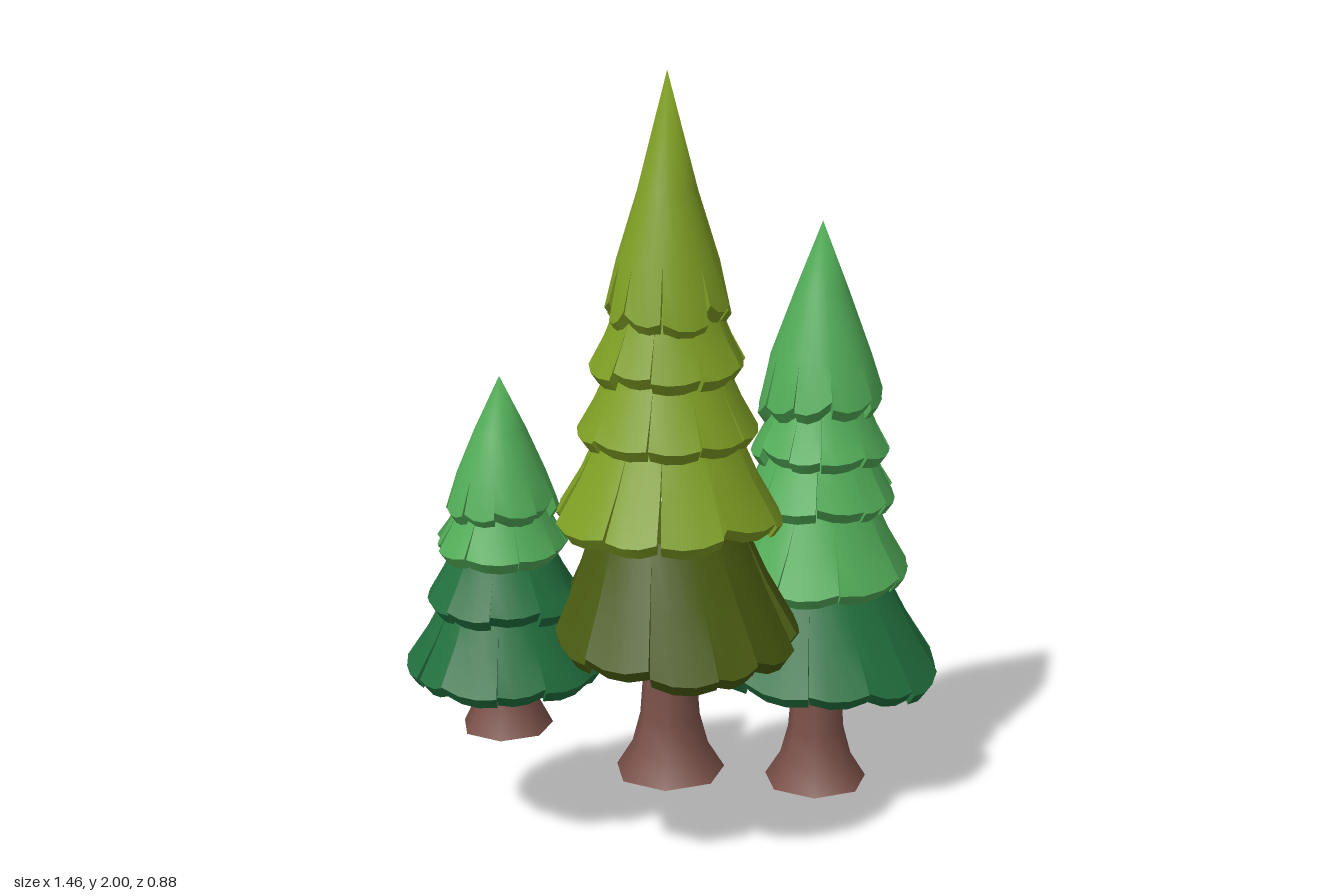
import * as THREE from 'three';
import { toCreasedNormals } from 'three/addons/utils/BufferGeometryUtils.js';

const mat = (name, color) => {
  const m = new THREE.MeshStandardMaterial({ color });
  m.name = name;
  return m;
};

// small seeded random, returns -1..1
function seeded(seed) {
  let s = seed;
  return () => {
    s = (s * 16807) % 2147483647;
    return (s / 2147483647) * 2 - 1;
  };
}

const SLIT = [0, 0, 0.4, 1], TIP_SLIT = [0, 0, 0, 1];

// One skirt of shingles. profile: four [radius, height] points from top to hem;
// slit: how far each profile row is split and shifted.
function skirt(profile, count, rand, { flap = 0, oz = 0, tilt = 0, slit = SLIT } = {}) {
  const COLS = 3, THICK = 0.028, pos = [], edges = [];
  const turn = flap ? 0 : rand() * 0.3;
  for (let i = 0; i < count; i++) edges.push(((i + rand() * 0.22 + 0.5) / count) * Math.PI * 2 + turn);
  edges.push(edges[0] + Math.PI * 2);
  const height = profile[1][1] - profile[3][1];
  const quad = (a, b, c, d) => pos.push(...a, ...b, ...c, ...a, ...c, ...d);

  for (let i = 0; i < count; i++) {
    const a0 = edges[i], a1 = edges[i + 1], mid = (a0 + a1) / 2;
    const isFlap = Math.abs(mid - Math.PI) < Math.PI / count;
    const grow = flap && isFlap ? flap : rand() * 0.03;
    const drop = rand() * 0.07 * height, skew = rand() * 0.14 * height;
    const gap = 0.008 + 0.03 * Math.max(0, rand());

    const point = (j, c, inner) => {
      const w = slit[j], u = c / COLS;
      const a = a0 + (a1 - a0) * (u + (0.5 - u) * 2 * gap * w);
      let [r, y] = profile[j];
      r *= 1 + grow * w;
      y += w * (drop + skew * (u - 0.5) - 0.06 * height * Math.sin(Math.PI * u) - tilt * Math.cos(a));
      if (inner) {
        r = Math.max(0, r - THICK * 0.7);
        y -= THICK;
      }
      return [r * Math.sin(a), y, r * Math.cos(a) + oz * w];
    };

    for (let j = 0; j < 3; j++) {
      for (let c = 0; c < COLS; c++) {
        quad(point(j, c), point(j + 1, c), point(j + 1, c + 1), point(j, c + 1));
        quad(point(j, c + 1, true), point(j + 1, c + 1, true), point(j + 1, c, true), point(j, c, true));
      }
      // slit walls
      if (slit[j + 1] > 0) {
        quad(point(j, 0, true), point(j + 1, 0, true), point(j + 1, 0), point(j, 0));
        quad(point(j, COLS), point(j + 1, COLS), point(j + 1, COLS, true), point(j, COLS, true));
      }
    }
    // hem
    for (let c = 0; c < COLS; c++) {
      quad(point(3, c), point(3, c, true), point(3, c + 1, true), point(3, c + 1));
    }
  }
  const raw = new THREE.BufferGeometry();
  raw.setAttribute('position', new THREE.Float32BufferAttribute(pos, 3));
  const g = toCreasedNormals(raw, 0.6);
  // one shared upward normal at the peak keeps the tip smooth
  const p = g.attributes.position, n = g.attributes.normal;
  for (let i = 0; i < p.count; i++) {
    if (Math.hypot(p.getX(i), p.getZ(i)) < 1e-5) n.setXYZ(i, 0, 1, 0);
  }
  return g;
}

// Flared hollow trunk, open at the foot
function trunk(base, top, r) {
  const pts = [[r, base], [r * 0.7, base + 0.07], [r * 0.55, base + 0.15],
    [r * 0.46, base + 0.32], [r * 0.42, top]].map(([x, y]) => new THREE.Vector2(x, y));
  return toCreasedNormals(new THREE.LatheGeometry(pts, 7, 0.3), 0.95);
}

export function createModel() {
  const bark = mat('bark brown', 0x7a5048);
  bark.side = THREE.DoubleSide;
  const light = mat('light green', 0x52ad58);
  const dark = mat('dark green', 0x22703e);
  const olive = mat('olive green', 0x7f9f24);
  const darkOlive = mat('dark olive', 0x485a10);

  // tier: [hem radius, hem height, upper radius, upper height, material, options]
  const trees = [
    {
      name: 'rightTree', x: 0.413, z: -0.06, seed: 4217, base: 0, r: 0.144, trunkTop: 0.66,
      tip: [[0, 1.575], [0.072, 1.39], [0.135, 1.22], [0.168, 1.095]], tipMat: light,
      tiers: [
        [0.318, 0.375, 0.19, 0.6, dark, { flap: 0.14, oz: 0.025, tilt: 0.022 }],
        [0.258, 0.612, 0.15, 0.82, light, { oz: -0.02 }],
        [0.21, 0.83, 0.14, 0.965, light, {}],
        [0.183, 0.965, 0.125, 1.09, light, {}],
      ],
    },
    {
      name: 'middleTree', x: -0.14, z: 0.085, seed: 9931, base: 0.2, r: 0.144, trunkTop: 0.9,
      tip: [[0, 2], [0.075, 1.71], [0.128, 1.54], [0.158, 1.425]], tipMat: olive,
      tiers: [
        [0.315, 0.605, 0.19, 0.87, darkOlive, { flap: 0.19, oz: 0.04, tilt: 0.022 }],
        [0.287, 0.9, 0.175, 1.11, olive, {}],
        [0.225, 1.115, 0.15, 1.27, olive, {}],
        [0.192, 1.28, 0.13, 1.42, olive, {}],
      ],
    },
    {
      name: 'leftTree', x: -0.475, z: -0.185, seed: 2753, base: 0.3, r: 0.12, trunkTop: 0.68,
      tip: [[0, 1.235], [0.065, 1.1], [0.112, 0.99], [0.142, 0.91]], tipMat: light,
      tiers: [
        [0.25, 0.49, 0.155, 0.655, dark, { tilt: 0.018 }],
        [0.2, 0.662, 0.125, 0.795, dark, {}],
        [0.168, 0.8, 0.11, 0.91, light, {}],
      ],
    },
  ];

  const model = new THREE.Group();
  model.name = 'pineTrees';
  for (const t of trees) {
    const tree = new THREE.Group();
    tree.name = t.name;
    tree.position.set(t.x, 0, t.z);
    const rand = seeded(t.seed);
    for (let i = 0; i < 8; i++) rand();
    const add = (name, geometry, material) => {
      const m = new THREE.Mesh(geometry, material);
      m.name = name;
      tree.add(m);
    };
    add('trunk', trunk(t.base, t.trunkTop, t.r), bark);

    t.tiers.forEach(([r, y, r0, y0, material, options], i) => {
      const profile = [[0, y0 + 0.05], [r0, y0], [r0 + (r - r0) * 0.45, (y + y0) / 2], [r, y]];
      add(`branchTier${i + 1}`, skirt(profile, i === 0 ? 12 : 10, rand, options), material);
    });
    add('treeTop', skirt(t.tip, 10, rand, { slit: TIP_SLIT }), t.tipMat);
    model.add(tree);
  }
  return model;
}
